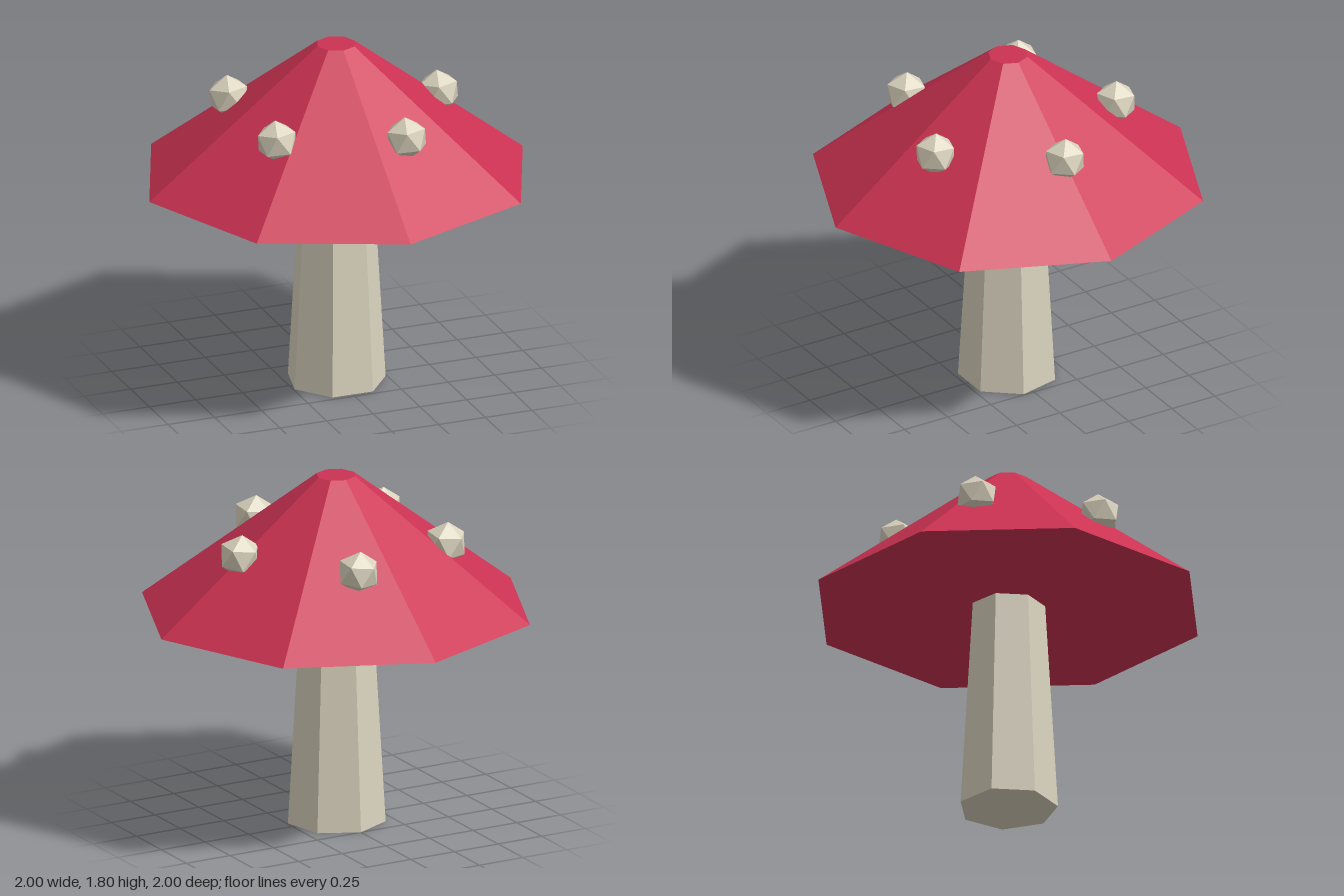
import * as THREE from 'three';

export function createModel() {
  const model = new THREE.Group();
  model.name = 'mushroom';

  const capRed = new THREE.MeshStandardMaterial({ color: 0xcc3252 });
  capRed.name = 'cap red';
  const cream = new THREE.MeshStandardMaterial({ color: 0xd9d2bd });
  cream.name = 'cream';

  // Faceted geometry gets one flat normal per face
  const flat = (geometry) => {
    const g = geometry.toNonIndexed();
    g.computeVertexNormals();
    return g;
  };

  const add = (name, geometry, material, x, y, z) => {
    const mesh = new THREE.Mesh(geometry, material);
    mesh.name = name;
    mesh.position.set(x, y, z);
    model.add(mesh);
    return mesh;
  };

  // Seven-sided tapering stem, one corner pointing to the back
  const stem = flat(new THREE.CylinderGeometry(0.186, 0.25, 1.1, 7, 1, false, Math.PI));
  add('stem', stem, cream, 0, 0.55, 0);

  // Eight-sided cap with a small flat top
  const cap = flat(new THREE.CylinderGeometry(0.1, 1, 0.7, 8));
  add('cap', cap, capRed, 0, 1.45, 0);

  // Five faceted spots in a ring, each with a corner near the top
  const spot = new THREE.IcosahedronGeometry(0.11, 0);
  spot.rotateZ(0.62).rotateX(-0.08);
  for (let i = 0; i < 5; i++) {
    const a = (i / 5) * Math.PI * 2;
    add('spot' + (i + 1), spot, cream, 0.55 * Math.cos(a), 1.465, 0.55 * Math.sin(a));
  }

  return model;
}
